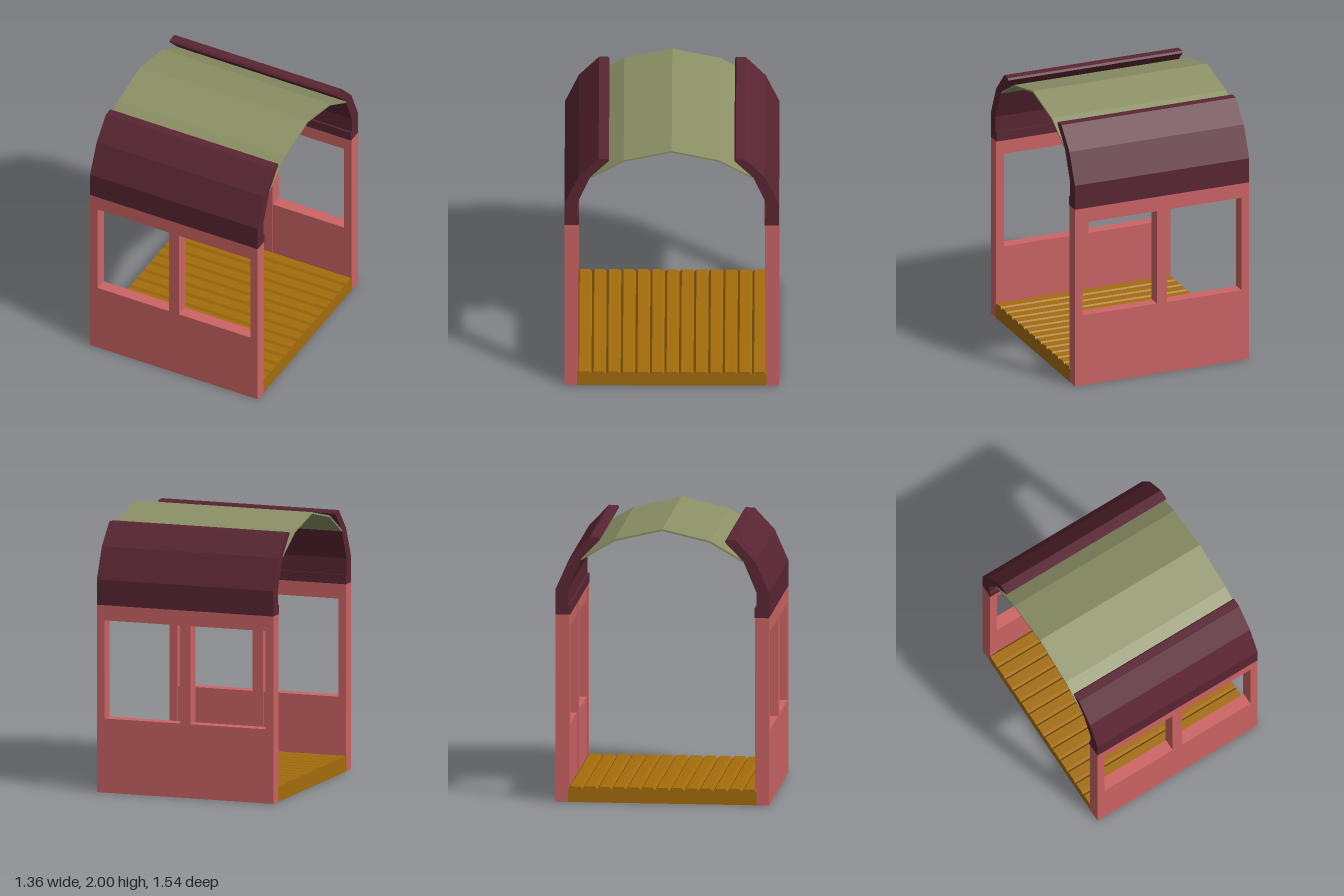
import * as THREE from 'three';

const HALF = 0.68; // half length along x

const mat = (color) => new THREE.MeshStandardMaterial({ color, flatShading: true });

// Extrudes a [z, y] cross-section along the full length in x
function extrudeAlongX(points) {
  const shape = new THREE.Shape(points.map(([z, y]) => new THREE.Vector2(z, y)));
  const geo = new THREE.ExtrudeGeometry(shape, { depth: HALF * 2, bevelEnabled: false });
  return geo.translate(0, 0, -HALF).rotateY(-Math.PI / 2);
}

function rect(path, x0, y0, x1, y1) {
  path.moveTo(x0, y0);
  path.lineTo(x1, y0);
  path.lineTo(x1, y1);
  path.lineTo(x0, y1);
  path.closePath();
  return path;
}

function add(parent, name, geometry, material) {
  const mesh = new THREE.Mesh(geometry, material);
  mesh.name = name;
  parent.add(mesh);
  return mesh;
}

export function createModel() {
  const model = new THREE.Group();
  model.name = 'cabin';
  const red = mat(0xcd6464), maroon = mat(0x5a2633);
  const olive = mat(0x8c9166), wood = mat(0xa46d0c);

  // Floor: planks with chamfered upper edges
  const planks = 13, half = 0.68, top = 0.115, c = 0.02;
  const w = (half * 2) / planks;
  const floor = [[-half, 0], [half, 0]];
  for (let i = 0; i < planks; i++) {
    const z = half - i * w;
    floor.push([z, top - c], [z - c * 0.8, top], [z - w + c * 0.8, top]);
  }
  floor.push([-half, top - c]);
  add(model, 'plankFloor', extrudeAlongX(floor), wood);

  // Wall with two window openings
  const wallShape = rect(new THREE.Shape(), -HALF, 0, HALF, 1.365);
  for (const x of [-0.62, 0.04]) {
    wallShape.holes.push(rect(new THREE.Path(), x, 0.54, x + 0.58, 1.255));
  }
  const wallGeo = new THREE.ExtrudeGeometry(wallShape, { depth: 0.09, bevelEnabled: false });
  wallGeo.translate(0, 0, 0.68);

  // Curved eave that rises above the wall
  const eaveGeo = extrudeAlongX([
    [0.77, 1.365], [0.77, 1.55], [0.67, 1.775], [0.525, 1.93], [0.46, 1.93], [0.45, 1.915],
    [0.585, 1.775], [0.68, 1.55], [0.68, 1.435], [0.665, 1.435], [0.665, 1.365],
  ]);

  for (const [name, turn] of [['frontSide', 0], ['backSide', Math.PI]]) {
    const side = new THREE.Group();
    side.name = name;
    side.rotation.y = turn;
    add(side, 'windowWall', wallGeo, red);
    add(side, 'roofEave', eaveGeo, maroon);
    // Thin inner posts beside the windows
    for (const [x, width] of [[-0.65, 0.06], [0, 0.08], [0.65, 0.06]]) {
      const post = add(side, 'innerPost', new THREE.BoxGeometry(width, 1.25, 0.01), red);
      post.position.set(x, 0.74, 0.675);
    }
    model.add(side);
  }

  // Thin faceted canopy between the eaves
  add(model, 'roofCanopy', extrudeAlongX([
    [0.59, 1.775], [0.345, 1.92], [0, 2], [-0.345, 1.92], [-0.59, 1.775],
    [-0.585, 1.764], [-0.342, 1.907], [0, 1.987], [0.342, 1.907], [0.585, 1.764],
  ]), olive);

  return model;
}
